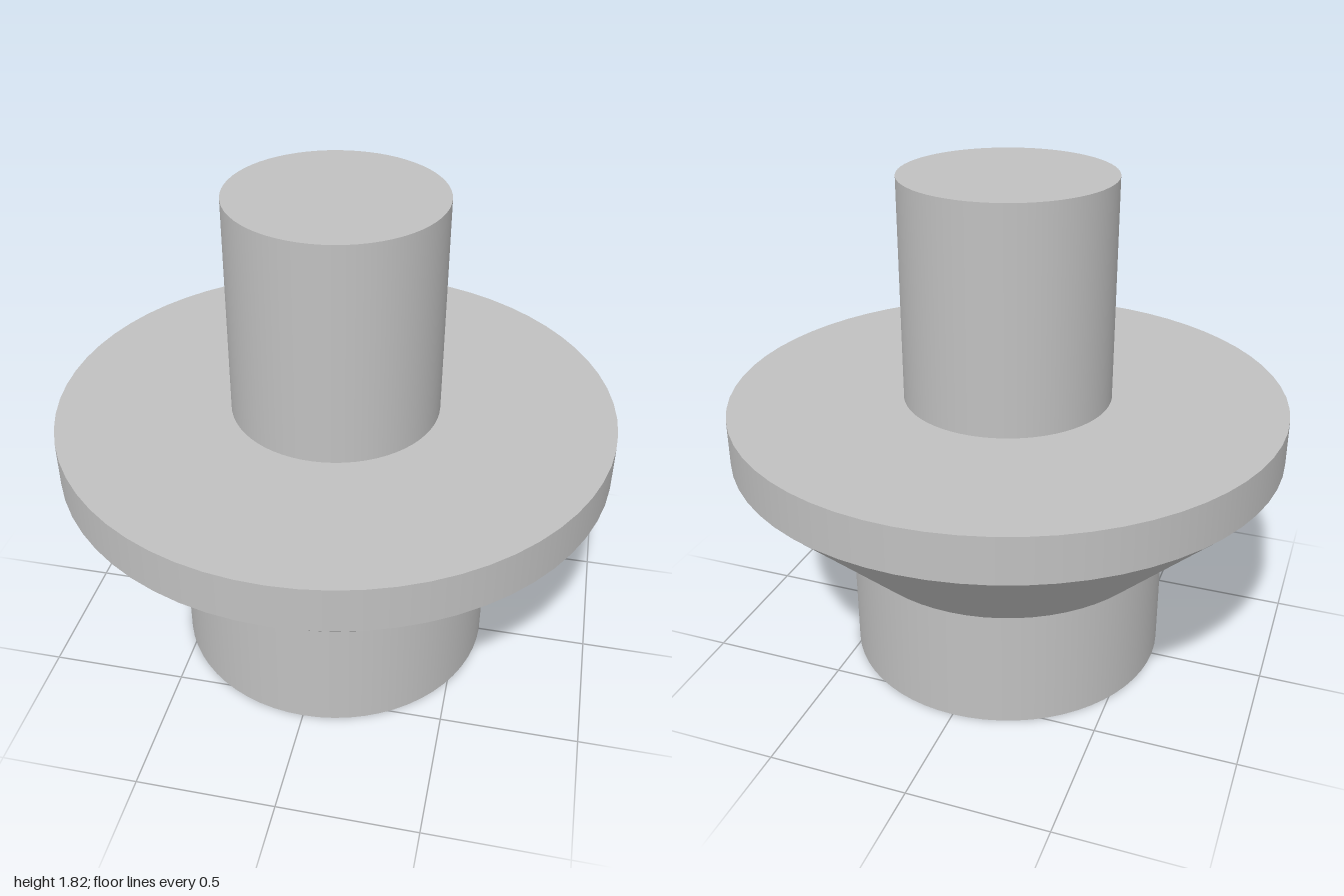
import * as THREE from 'three';

const SEGMENTS = 64;

export function createModel() {
  const model = new THREE.Group();
  model.name = 'steppedFlangeSpindle';
  const metal = new THREE.MeshStandardMaterial({ color: 0xc0c0c0 });
  metal.name = 'plain grey';

  const add = (name, geometry) => {
    const mesh = new THREE.Mesh(geometry, metal);
    mesh.name = name;
    model.add(mesh);
  };

  // Open-ended round wall between two heights
  const wall = (name, rBottom, rTop, y0, y1) => {
    const geometry = new THREE.CylinderGeometry(rTop, rBottom, y1 - y0, SEGMENTS, 1, true);
    add(name, geometry.translate(0, (y0 + y1) / 2, 0));
  };

  // Flat horizontal face, facing up or down (an annulus when inner > 0)
  const face = (name, inner, outer, y, up = true) => {
    const geometry = inner > 0
      ? new THREE.RingGeometry(inner, outer, SEGMENTS)
      : new THREE.CircleGeometry(outer, SEGMENTS);
    geometry.rotateX(up ? -Math.PI / 2 : Math.PI / 2);
    add(name, geometry.translate(0, y, 0));
  };

  const baseRadius = 0.587, flangeRadius = 1, shaftRadius = 0.376;
  const baseTop = 0.44, coneTop = 0.85, flangeTop = 1.015, shaftTop = 1.815;

  // Base
  face('baseUnderside', 0, baseRadius, 0, false);
  wall('baseWall', baseRadius, baseRadius, 0, baseTop);
  // Flared cone and flange
  wall('flaredCone', baseRadius, flangeRadius, baseTop, coneTop);
  wall('flangeRim', flangeRadius, flangeRadius, coneTop, flangeTop);
  face('flangeTop', shaftRadius, flangeRadius, flangeTop);
  // Shaft
  wall('shaftWall', shaftRadius, shaftRadius, flangeTop, shaftTop);
  face('shaftTop', 0, shaftRadius, shaftTop);

  return model;
}
